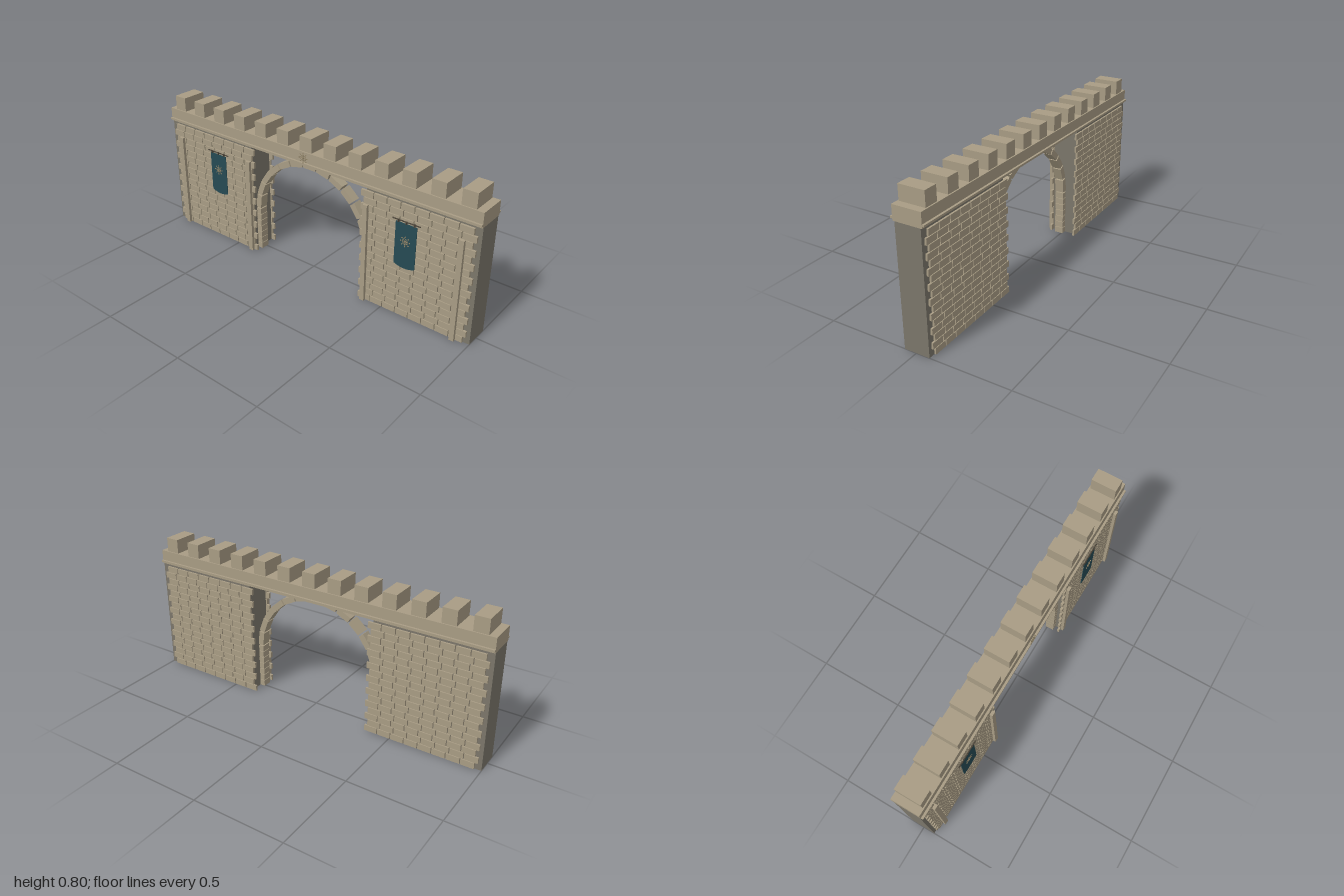
import * as THREE from 'three';
import { mergeGeometries } from 'three/addons/utils/BufferGeometryUtils.js';

const mat = (name, color, side = THREE.FrontSide) => {
  const m = new THREE.MeshStandardMaterial({ color, side });
  m.name = name;
  return m;
};

// Box given by its min and max corners
const box = (x0, x1, y0, y1, z0, z1) =>
  new THREE.BoxGeometry(x1 - x0, y1 - y0, z1 - z0)
    .translate((x0 + x1) / 2, (y0 + y1) / 2, (z0 + z1) / 2);

export function createModel() {
  const stone = mat('stone', 0xa89c84);
  const mortar = mat('mortar', 0x7b766a);
  const cloth = mat('cloth', 0x264a53, THREE.DoubleSide);
  const bronze = mat('bronze', 0x8f8266);
  const iron = mat('iron', 0x4a4338);

  const model = new THREE.Group();
  model.name = 'gateWall';
  const add = (name, geometry, material, parent = model) => {
    const mesh = new THREE.Mesh(geometry, material);
    mesh.name = name;
    parent.add(mesh);
    return mesh;
  };

  // One face of staggered masonry; s picks the side of the gate
  const brickPanel = (s, z0, z1) => {
    const parts = [];
    const rows = 17, cols = 8, rowH = 0.037, pitch = 0.0768;
    for (let r = 0; r < rows; r++) {
      const start = r % 2 ? 0.372 : 0.355;
      for (let c = 0; c < cols; c++) {
        const a = s * (start + c * pitch);
        const b = s * (start + (c + 1) * pitch - 0.005);
        parts.push(box(Math.min(a, b), Math.max(a, b),
          r * rowH + 0.001, (r + 1) * rowH - 0.003, z0, z1));
      }
    }
    return mergeGeometries(parts);
  };

  // Flat rosette: hub, petals, ring and outer beads
  const rosette = (x, y, z) => {
    const parts = [
      new THREE.TorusGeometry(0.016, 0.0015, 4, 20),
      new THREE.CylinderGeometry(0.005, 0.005, 0.003, 10).rotateX(Math.PI / 2),
    ];
    for (let i = 0; i < 8; i++) {
      const a = (i * Math.PI) / 4;
      parts.push(new THREE.BoxGeometry(0.008, 0.003, 0.002).translate(0.011, 0, 0).rotateZ(a));
      parts.push(new THREE.BoxGeometry(0.007, 0.005, 0.002).translate(0.025, 0, 0).rotateZ(a));
    }
    const g = mergeGeometries(parts);
    return g.translate(x, y, z);
  };

  // Banner cloth with a sagging hem
  const bannerShape = new THREE.Shape();
  bannerShape.moveTo(-0.059, 0.53);
  bannerShape.lineTo(-0.059, 0.298);
  bannerShape.quadraticCurveTo(0, 0.272, 0.059, 0.298);
  bannerShape.lineTo(0.059, 0.53);
  const bannerGeo = new THREE.ExtrudeGeometry(bannerShape,
    { depth: 0.003, bevelEnabled: false, curveSegments: 8 });

  for (const s of [-1, 1]) {
    const wing = new THREE.Group();
    wing.name = s < 0 ? 'rightWing' : 'leftWing';
    model.add(wing);

    // Wall core with masonry on both faces
    const [a, b] = s < 0 ? [-1, -0.38] : [0.38, 1];
    add('wallCore', box(a, b, 0, 0.64, -0.073, 0.065), mortar, wing);
    add('frontMasonry', brickPanel(s, 0.064, 0.077), stone, wing);
    add('backMasonry', brickPanel(s, -0.083, -0.072), stone, wing);

    // Slim pilasters on the front
    for (const x of [0.39, 0.916]) {
      add('pilaster', box(s * x - 0.013, s * x + 0.013, 0, 0.555, 0.065, 0.093), stone, wing);
    }

    // Hanging banner with rod, ties and rosette
    const cx = s * 0.624;
    add('banner', bannerGeo.clone().translate(cx, 0, 0.081), cloth, wing);
    add('bannerRod', new THREE.CylinderGeometry(0.003, 0.003, 0.155, 8)
      .rotateZ(Math.PI / 2).translate(cx, 0.54, 0.083), iron, wing);
    for (const t of [-0.045, 0, 0.045]) {
      add('bannerTie', box(cx + t - 0.003, cx + t + 0.003, 0.528, 0.544, 0.08, 0.087), iron, wing);
    }
    add('bannerRosette', rosette(cx, 0.435, 0.086), bronze, wing);

    // Jamb blocks carrying the arch
    const jamb = [];
    for (let r = 0; r < 7; r++) {
      const x0 = s < 0 ? -0.385 : 0.35;
      jamb.push(box(x0, x0 + 0.035, r * 0.037 + 0.001, (r + 1) * 0.037 - 0.002, -0.01, 0.04));
    }
    add('archJamb', mergeGeometries(jamb), stone, wing);
  }

  // Arch ring of thirteen wedge blocks
  const count = 13, inner = 0.35, outer = 0.383, step = Math.PI / count;
  const blocks = [];
  for (let i = 0; i < count; i++) {
    const a0 = i * step + 0.012, a1 = (i + 1) * step - 0.012;
    const p = (r, a) => new THREE.Vector2(r * Math.cos(a), r * Math.sin(a));
    const wedge = new THREE.Shape([p(inner, a0), p(outer, a0), p(outer, a1), p(inner, a1)]);
    blocks.push(new THREE.ExtrudeGeometry(wedge, { depth: 0.05, bevelEnabled: false })
      .translate(0, 0.259, -0.01));
  }
  add('archRing', mergeGeometries(blocks), stone);

  // Parapet beam, ledge and battlements
  add('parapet', box(-1, 1, 0.64, 0.717, -0.08, 0.075), stone);
  add('ledge', box(-1, 1, 0.65, 0.66, -0.092, 0.087), stone);
  for (let i = -6; i <= 6; i++) {
    const x = i * 0.1537;
    add('merlon', box(x - 0.038, x + 0.038, 0.716, 0.796, -0.073, 0.068), stone);
  }
  add('keyRosette', rosette(0, 0.689, 0.087), bronze);

  return model;
}
